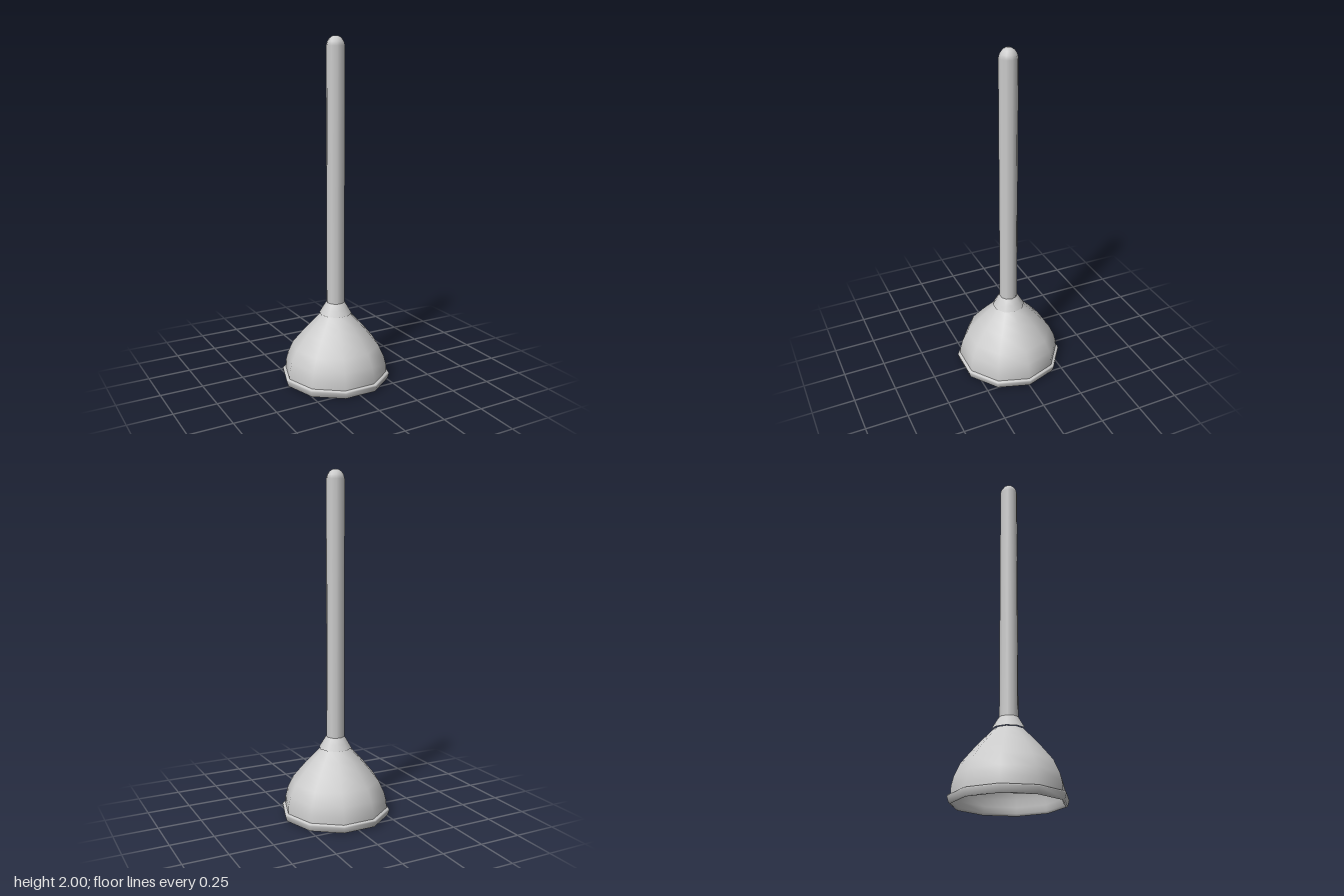
import * as THREE from 'three';

const SIDES = 10;
const material = new THREE.MeshStandardMaterial({ color: 0xcccccc });

// Ten-sided turned part with a corner on the x axis; profile is [radius, height]
function turned(name, profile) {
  const points = profile.map(([r, y]) => new THREE.Vector2(r, y));
  const mesh = new THREE.Mesh(new THREE.LatheGeometry(points, SIDES, Math.PI / 2), material);
  mesh.name = name;
  return mesh;
}

export function createModel() {
  const group = new THREE.Group();
  group.name = 'plunger';

  // Rubber cup: outer bell, and a thin-walled hollow that flares into the rim
  const cup = new THREE.Group();
  cup.name = 'cup';
  cup.add(
    turned('bell', [
      [0.305, 0.045], [0.303, 0.09], [0.29, 0.142], [0.257, 0.213],
      [0.187, 0.297], [0.14, 0.348], [0.085, 0.405],
    ]),
    turned('insideAndRim', [
      [0, 0.4], [0.075, 0.393], [0.175, 0.288], [0.243, 0.206], [0.275, 0.138],
      [0.288, 0.088], [0.29, 0.045], [0.294, 0.012], [0.303, 0], [0.313, 0.004],
      [0.323, 0.036], [0.318, 0.044], [0.302, 0.048],
    ]),
  );
  group.add(cup);

  // Collar that grips the handle
  group.add(turned('collar', [[0.096, 0.405], [0.077, 0.438], [0.056, 0.472], [0.05, 0.474]]));

  // Straight handle with a rounded tip
  group.add(turned('handle', [
    [0.053, 0.44], [0.053, 1.945], [0.047, 1.968], [0.034, 1.987], [0.018, 1.997], [0, 2],
  ]));

  return group;
}
